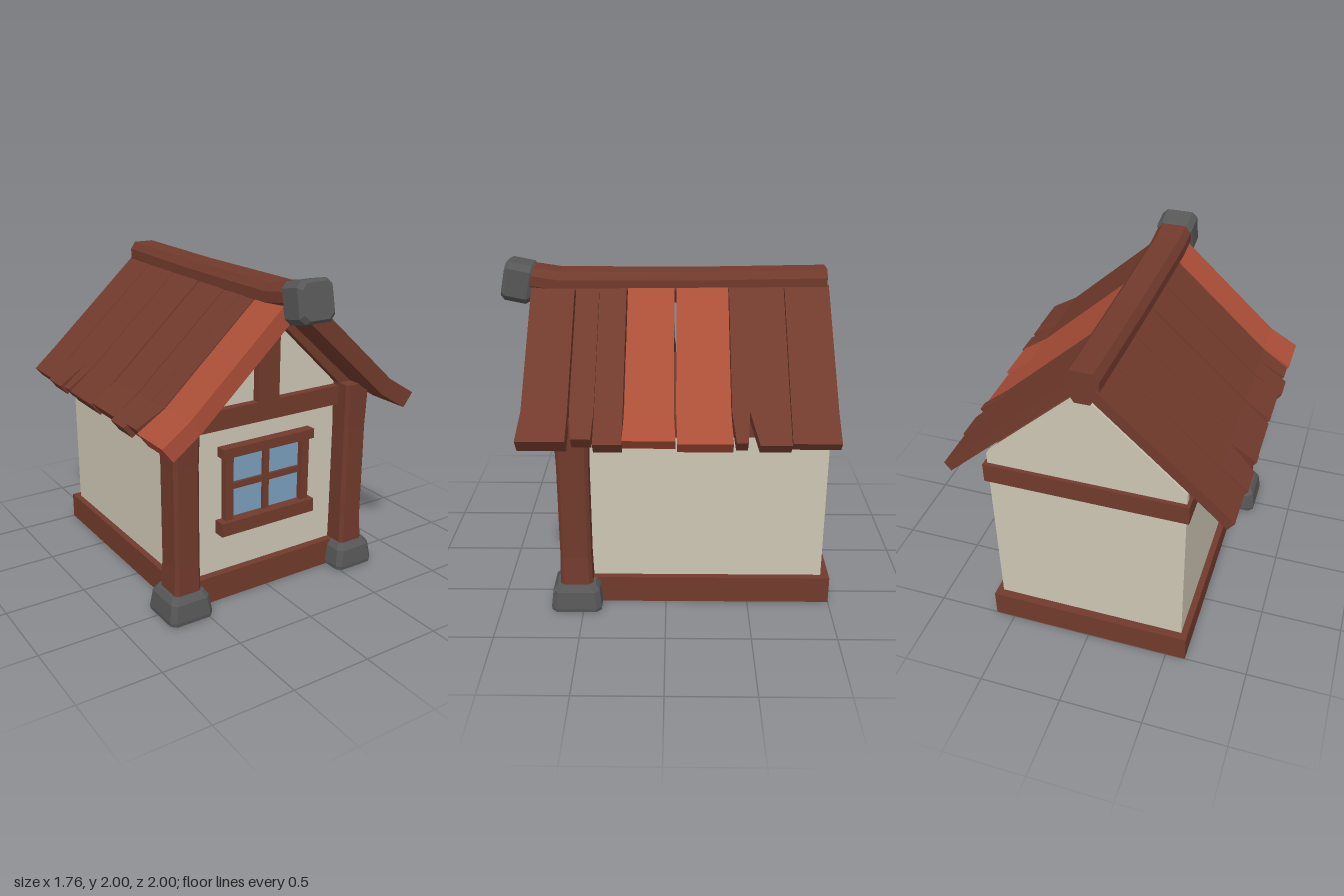
import * as THREE from 'three';

const mat = (name, color) => {
  const m = new THREE.MeshStandardMaterial({ color });
  m.name = name;
  return m;
};

export function createModel() {
  const wood = mat('brown wood', 0x713a2c);
  const bright = mat('red wood', 0xab4e37);
  const plaster = mat('cream plaster', 0xcdc6b5);
  const glass = mat('blue glass', 0x7a9fbb);
  const stone = mat('grey stone', 0x575757);
  const house = new THREE.Group();
  house.name = 'house';

  const add = (name, geo, material, parent = house) => {
    const m = new THREE.Mesh(geo, material);
    m.name = name;
    parent.add(m);
    return m;
  };

  // Box given by its min and max corners
  const box = (name, material, x0, x1, y0, y1, z0, z1) => {
    const g = new THREE.BoxGeometry(x1 - x0, y1 - y0, z1 - z0);
    g.translate((x0 + x1) / 2, (y0 + y1) / 2, (z0 + z1) / 2);
    return add(name, g, material);
  };

  // Flat-shaded closed loft through rings of [x, y, z] points
  const loft = (rings) => {
    const tris = [];
    const n = rings[0].length, last = rings[rings.length - 1];
    for (let r = 0; r < rings.length - 1; r++) {
      for (let i = 0; i < n; i++) {
        const j = (i + 1) % n, a = rings[r], b = rings[r + 1];
        tris.push([a[i], a[j], b[j]], [a[i], b[j], b[i]]);
      }
    }
    for (let i = 1; i < n - 1; i++) {
      tris.push([rings[0][0], rings[0][i + 1], rings[0][i]], [last[0], last[i], last[i + 1]]);
    }
    // turn the faces outward whichever way the rings run
    let volume = 0;
    const [a, b, c] = [new THREE.Vector3(), new THREE.Vector3(), new THREE.Vector3()];
    for (const t of tris) volume += a.fromArray(t[0]).dot(b.fromArray(t[1]).cross(c.fromArray(t[2])));
    if (volume < 0) tris.forEach((t) => t.reverse());
    const g = new THREE.BufferGeometry();
    g.setAttribute('position', new THREE.Float32BufferAttribute(tris.flat(2), 3));
    g.computeVertexNormals();
    return g;
  };

  // Chamfered rectangle ring at height y
  const ring = (y, w, d, c, dx = 0) => {
    const x = w / 2, z = d / 2;
    return [[x - c, -z], [x, -z + c], [x, z - c], [x - c, z], [-x + c, z], [-x, z - c], [-x, -z + c], [-x + c, -z]]
      .map(([px, pz]) => [px + dx, y, pz]);
  };

  // Thin plate from an outline in the xy plane
  const plate = (points, z0, z1) => {
    const shape = new THREE.Shape(points.map(([x, y]) => new THREE.Vector2(x, y)));
    const g = new THREE.ExtrudeGeometry(shape, { depth: z1 - z0, bevelEnabled: false });
    return g.translate(0, 0, z0);
  };

  // Walls, gables and horizontal beams
  box('base', wood, -0.62, 0.62, 0, 0.17, -1, 0.55);
  box('walls', plaster, -0.58, 0.58, 0.1, 1.15, -0.95, 0.5);
  box('tieBeam', wood, -0.6, 0.6, 1.1, 1.22, -0.975, 0.55);
  const gable = [[-0.58, 1.15], [0.58, 1.15], [0.58, 1.29], [0, 1.82], [-0.58, 1.29]];
  add('frontGable', plate(gable, 0.46, 0.5), plaster);
  add('backGable', plate(gable, -0.95, -0.91), plaster);
  box('kingPost', wood, -0.08, 0.07, 1.2, 1.75, 0.45, 0.55);

  // Corner posts, foot stones and gable rafters
  for (const s of [1, -1]) {
    const side = s > 0 ? 'left' : 'right';
    const post = add(side + 'Post', loft([
      ring(0.1, 0.18, 0.2, 0.02, s * 0.005), ring(0.35, 0.165, 0.185, 0.02),
      ring(0.95, 0.165, 0.185, 0.02), ring(1.24, 0.18, 0.2, 0.02),
    ]), wood);
    post.position.set(s * 0.61, 0, 0.54);
    const foot = add(side + 'FootStone', loft([
      ring(0.008, 0.28, 0.3, 0.03), ring(0.03, 0.285, 0.305, 0.03),
      ring(0.135, 0.255, 0.28, 0.03), ring(0.17, 0.21, 0.23, 0.03),
    ]), stone);
    foot.position.set(s * 0.615, 0, 0.54);
    const rafter = [[0, 1.74], [0.54, 1.22], [0.62, 1.25], [0, 1.83]].map(([x, y]) => [s * x, y]);
    add(side + 'Rafter', plate(s > 0 ? rafter : rafter.reverse(), 0.45, 0.555), wood);
  }

  // Window
  box('windowGlass', glass, -0.26, 0.27, 0.5, 0.93, 0.5, 0.508);
  for (const x of [-0.303, 0.253]) box('windowJamb', wood, x, x + 0.056, 0.5, 0.93, 0.5, 0.545);
  box('windowHead', wood, -0.33, 0.33, 0.92, 0.98, 0.5, 0.565);
  box('windowSill', wood, -0.345, 0.335, 0.43, 0.515, 0.5, 0.575);
  box('windowMullion', wood, -0.02, 0.02, 0.5, 0.93, 0.5, 0.53);
  box('windowTransom', wood, -0.26, 0.27, 0.7, 0.74, 0.5, 0.527);

  // Roof planks: z front, z back, eave z front, eave z back, eave x, eave y, thickness, bright side
  const planks = [
    [0.81, 0.55, 0.825, 0.55, 0.875, 1.19, 0.1, -1],
    [0.54, 0.402, 0.52, 0.41, 0.865, 1.2, 0.085, 0],
    [0.4, 0.24, 0.4, 0.24, 0.88, 1.175, 0.08, 0],
    [0.232, -0.045, 0.24, -0.055, 0.86, 1.19, 0.08, 1],
    [-0.058, -0.365, -0.065, -0.375, 0.855, 1.17, 0.085, 1],
    [-0.37, -0.47, -0.39, -0.455, 0.86, 1.18, 0.075, 0],
    [-0.47, -0.695, -0.52, -0.695, 0.86, 1.165, 0.07, 0],
    [-0.7, -0.965, -0.7, -0.97, 0.845, 1.17, 0.06, 0],
  ];
  for (const s of [1, -1]) {
    const roof = new THREE.Group();
    roof.name = s > 0 ? 'leftRoof' : 'rightRoof';
    house.add(roof);
    for (const [z0, z1, e0, e1, ex, ey, t, hue] of planks) {
      const section = (x, y, a, b) => [
        [s * x, y, a], [s * x, y, b],
        [s * (x - 0.65 * t), y - 0.85 * t, b], [s * (x - 0.65 * t), y - 0.85 * t, a],
      ];
      add('roofPlank', loft([
        section(0.08, 1.866, z0, z1), section(0.7, 1.3, z0, z1), section(ex, ey, e0, e1),
      ]), hue === s ? bright : wood, roof);
    }
  }

  // Ridge beam, lifting slightly towards the front
  const profile = [[-0.11, 1.84], [-0.11, 1.9], [-0.075, 1.945], [0.075, 1.945],
    [0.11, 1.9], [0.11, 1.84], [0.05, 1.75], [-0.05, 1.75]];
  const ridge = [[-0.955, 0.01, 0.88], [-0.2, -0.005, 0.94], [0.64, -0.005, 1], [0.84, 0.025, 1]];
  add('ridgeBeam', loft(ridge.map(([z, dy, w]) => profile.map(([x, y]) => [x * w - 0.008, y + dy, z]))), wood);

  // Stone cap on the front of the ridge
  const cap = add('ridgeCap', loft([
    ring(-0.09, 0.2, 0.2, 0.035), ring(-0.065, 0.235, 0.235, 0.035),
    ring(0.065, 0.235, 0.235, 0.035), ring(0.09, 0.2, 0.2, 0.035),
  ]), stone);
  cap.position.set(-0.01, 1.872, 0.893);
  cap.rotation.x = Math.PI / 2 - 0.2;
  return house;
}
